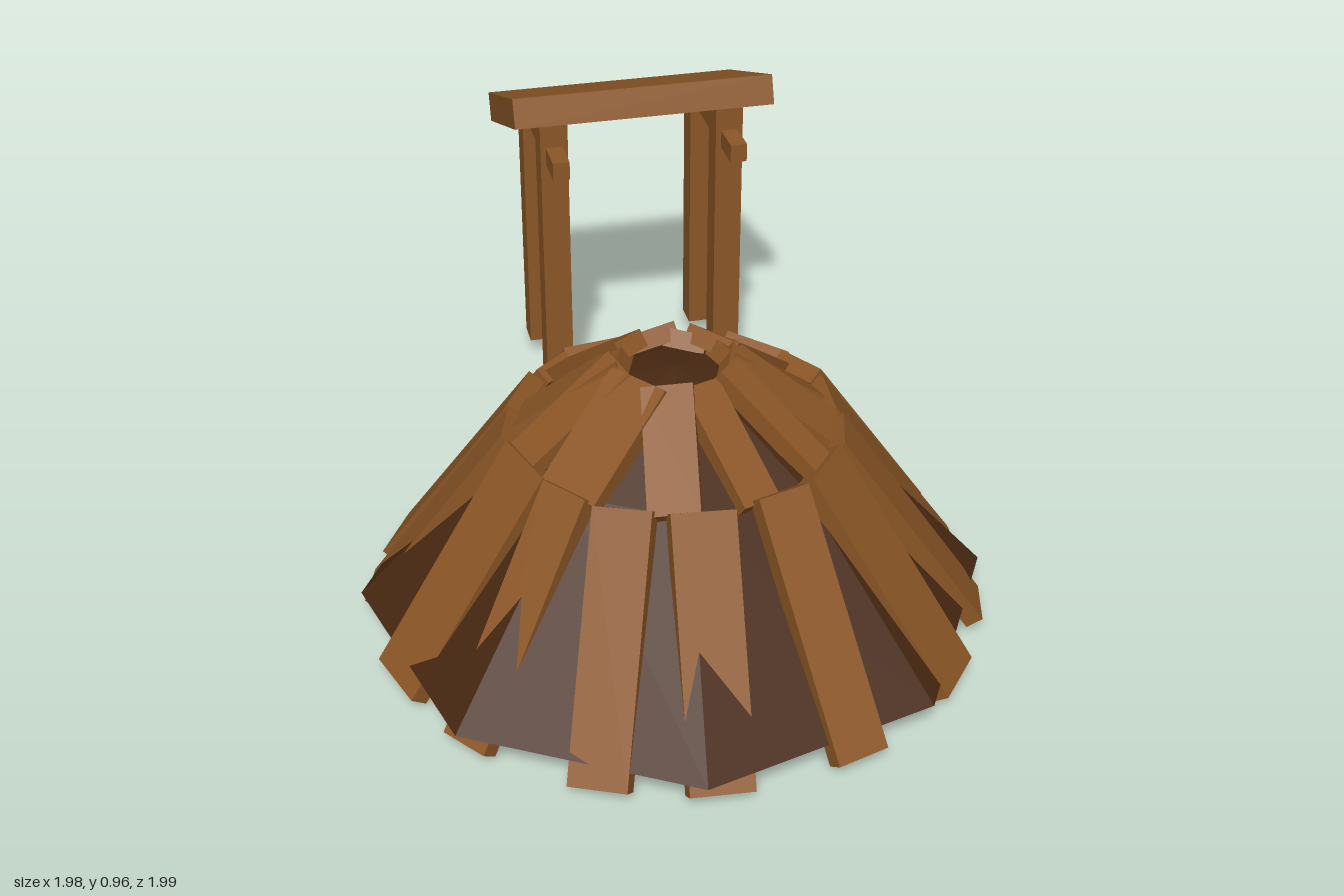
import * as THREE from 'three';

const wood = new THREE.MeshStandardMaterial({ color: 0x8b5626 });
wood.name = 'plank brown';
const dark = new THREE.MeshStandardMaterial({ color: 0x472812, flatShading: true, side: THREE.DoubleSide });
dark.name = 'dark brown';

function box(name, w, h, d, x, y, z) {
  const mesh = new THREE.Mesh(new THREE.BoxGeometry(w, h, d), wood);
  mesh.name = name;
  mesh.position.set(x, y, z);
  return mesh;
}

// Plank leaning on the hut, from (r1, y1) at its top to (r2, y2) at its foot
function plank(name, degrees, [r1, y1], [r2, y2], width, lift, twist, yaw) {
  const spoke = new THREE.Group();
  spoke.name = name;
  spoke.rotation.y = -THREE.MathUtils.degToRad(degrees);
  const slope = Math.atan2(y1 - y2, r2 - r1);
  const board = box(name + 'Board', Math.hypot(r2 - r1, y1 - y2), 0.045, width,
    (r1 + r2) / 2 + lift * Math.sin(slope), (y1 + y2) / 2 + lift * Math.cos(slope), 0);
  board.rotation.set(twist, yaw, -slope, 'ZYX');
  spoke.add(board);
  return spoke;
}

function createHut() {
  const hut = new THREE.Group();
  hut.name = 'hut';
  hut.position.set(0.225, 0, 0.225);

  // Eight-sided shell, open below
  const profile = [[0.765, 0.085], [0.37, 0.52], [0.12, 0.67], [0.001, 0.69]]
    .map(([r, y]) => new THREE.Vector2(r, y));
  const shell = new THREE.Mesh(new THREE.LatheGeometry(profile, 8), dark);
  shell.name = 'hutShell';
  hut.add(shell);

  // Lower ring: angle, width, lift off the shell
  const lower = [
    [90, 0.125, -0.008], [65, 0.14, -0.012], [42, 0.15, -0.006], [15, 0.13, 0.006],
    [-11, 0.16, 0.008], [-33, 0.13, 0.008], [-55, 0.15, -0.004], [-76, 0.14, 0.008],
    [-100, 0.17, 0.006], [-121, 0.15, -0.006], [-140, 0.14, 0], [-160, 0.16, 0],
    [180, 0.14, 0], [158, 0.17, 0], [139, 0.13, 0.004], [113, 0.17, -0.012],
  ];
  lower.forEach(([a, w, lift], i) => {
    const twist = 0.1 * Math.sin(i * 2.4);
    hut.add(plank('lowerPlank', a, [0.375, 0.54], [0.73, 0.037], w, lift, twist, 0.06 * Math.sin(i * 1.7)));
  });

  // Upper ring: angle, width, lift
  const upper = [
    [90, 0.16, 0], [52, 0.12, 0.005], [20, 0.1, -0.006], [-12, 0.08, 0.016], [-38, 0.13, 0.004],
    [-62, 0.1, 0], [-90, 0.14, 0.008], [-118, 0.1, -0.006], [-153, 0.14, 0.004],
    [180, 0.085, 0.01], [145, 0.14, 0], [120, 0.11, 0.006],
  ];
  upper.forEach(([a, w, lift], i) => {
    const twist = 0.12 * Math.sin(i * 2.1);
    hut.add(plank('upperPlank', a, [0.115, 0.698], [0.365, 0.515], w, lift, twist, 0.08 * Math.sin(i * 1.3)));
  });
  return hut;
}

function createCanopy() {
  // Local +x points at the hut, local z runs along the roof
  const canopy = new THREE.Group();
  canopy.name = 'canopy';
  canopy.position.set(-0.6, 0, -0.58);
  canopy.rotation.y = -0.645;

  const roof = box('canopyRoof', 0.458, 0.08, 0.705, 0, 0.855, 0);
  roof.rotation.z = 0.365;
  canopy.add(roof);

  for (const side of [-1, 1]) {
    canopy.add(
      box('tallPost', 0.075, 0.86, 0.075, 0.143, 0.45, side * 0.242),
      box('shortPost', 0.075, 0.72, 0.075, -0.137, 0.42, side * 0.242),
      box('crossBeam', 0.38, 0.05, 0.045, 0.09, 0.79, side * 0.242),
    );
  }
  return canopy;
}

export function createModel() {
  const model = new THREE.Group();
  model.name = 'plankHutWithCanopy';
  model.add(createHut(), createCanopy());
  return model;
}
